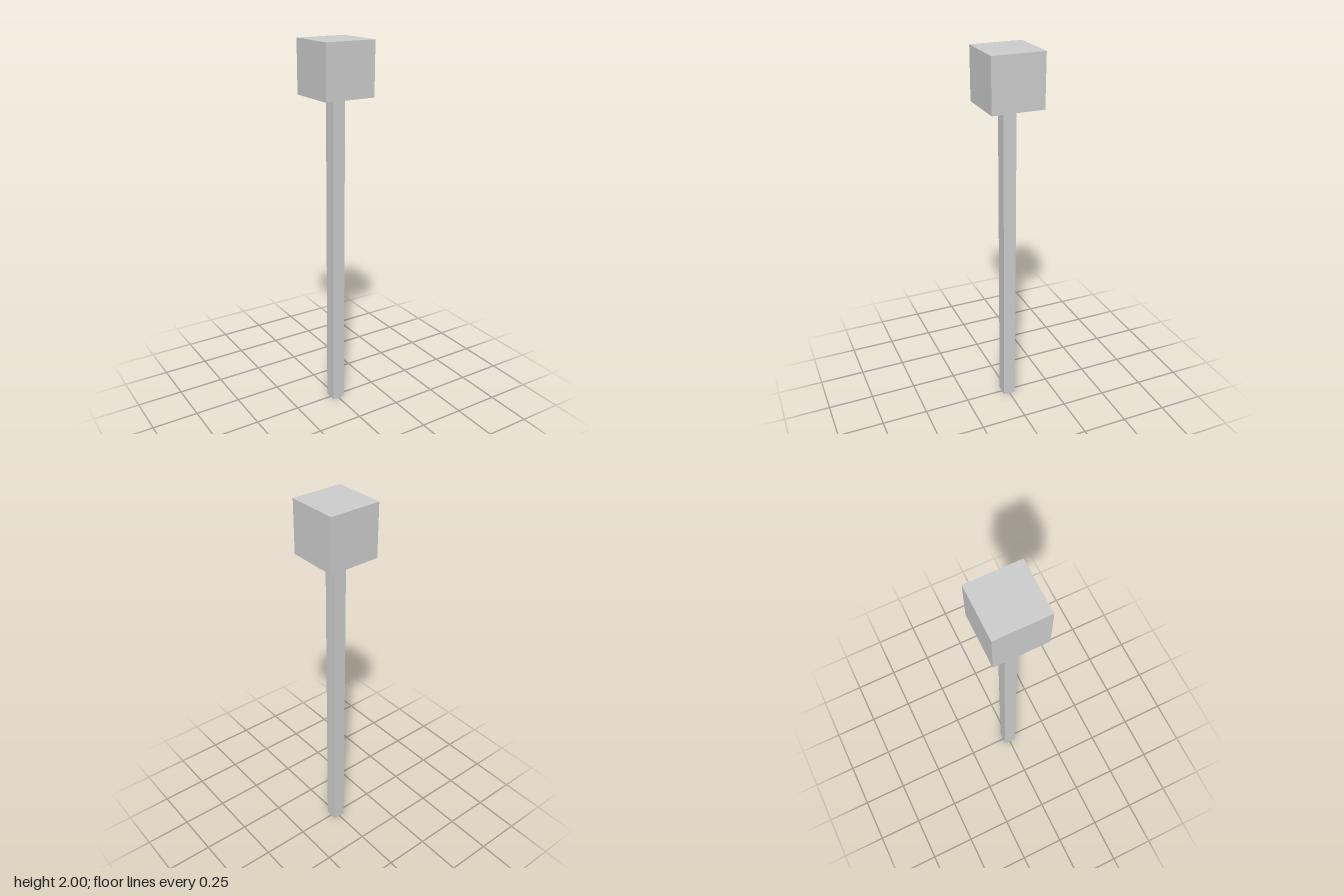
import * as THREE from 'three';

// Everything is a multiple of the pole's thickness
const UNIT = 2 / 29;

export function createModel() {
  const group = new THREE.Group();
  group.name = 'postWithBlock';
  const material = new THREE.MeshStandardMaterial({ color: 0xcccccc, flatShading: true });

  // Square-section block standing on height y
  const addBlock = (name, width, height, y) => {
    const mesh = new THREE.Mesh(new THREE.BoxGeometry(width, height, width), material);
    mesh.name = name;
    mesh.position.y = y + height / 2;
    group.add(mesh);
  };

  // Slim square pole
  addBlock('pole', UNIT, 25 * UNIT, 0);
  // Cube on top
  addBlock('head', 4 * UNIT, 4 * UNIT, 25 * UNIT);

  return group;
}
